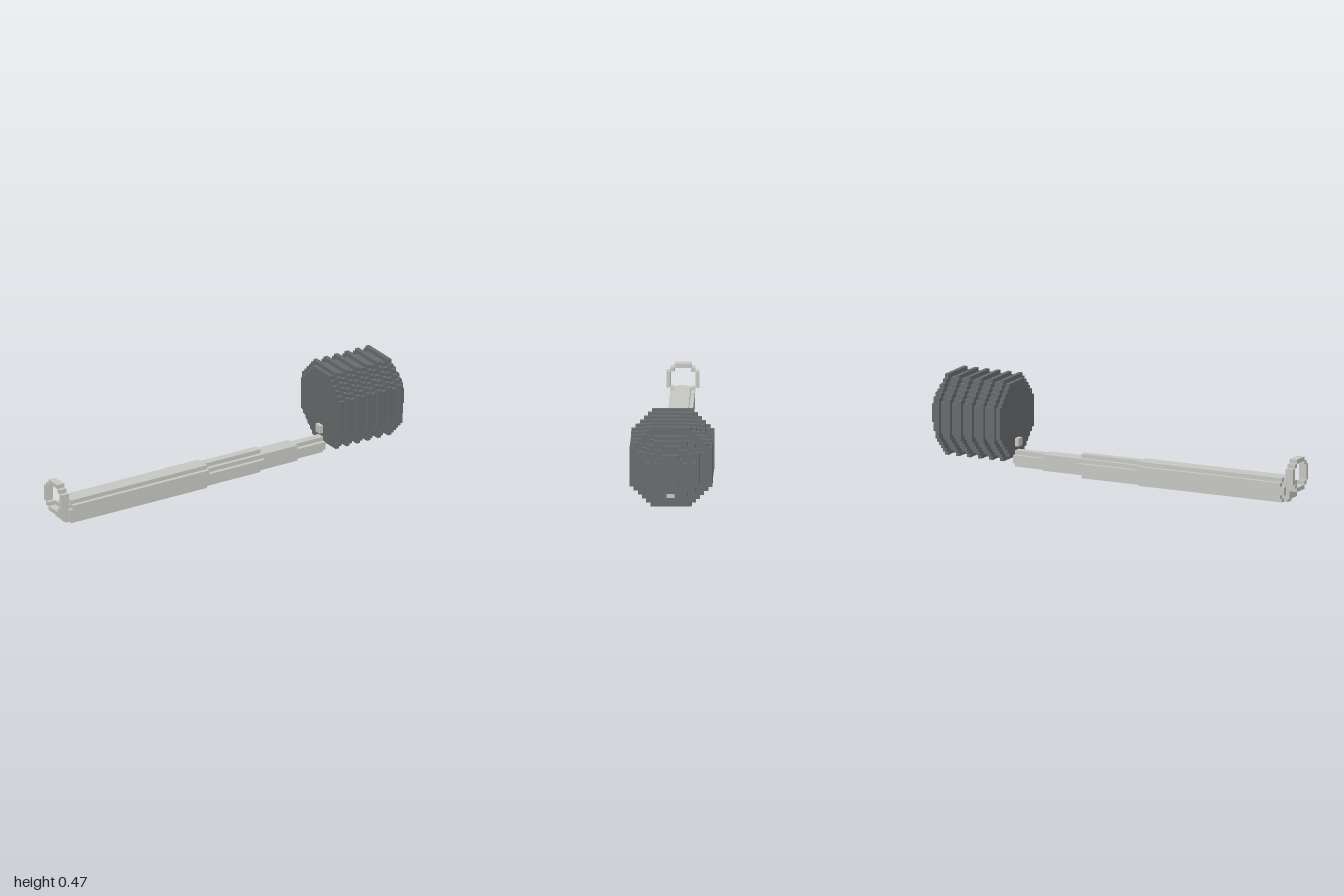
import * as THREE from 'three';

const U = 2 / 98; // size of one block

// half-widths of an octagon, one per row from the centre outwards
function octagon(radius, flat) {
  return Array.from({ length: radius }, (_, row) => Math.min(radius, radius + flat - 1 - row));
}

// stepped outline, mirrored up/down and left/right
function outline(rows, Type = THREE.Shape) {
  const quarter = [];
  rows.forEach((w, i) => quarter.push([w, i], [w, i + 1]));
  const flip = (sx, sy) => quarter.map(([x, y]) => [x * sx, y * sy]);
  const points = [
    ...flip(1, 1), ...flip(-1, 1).reverse(), ...flip(-1, -1), ...flip(1, -1).reverse(),
  ].map(([x, y]) => new THREE.Vector2(x * U, y * U));
  const clean = points.filter((p, i) => i === 0 || p.distanceTo(points[i - 1]) > 1e-6);
  if (clean[0].distanceTo(clean[clean.length - 1]) < 1e-6) clean.pop();
  return new Type(clean);
}

export function createModel() {
  const model = new THREE.Group();
  const paleGrey = new THREE.MeshStandardMaterial({ color: 0xc8c8c3 });
  paleGrey.name = 'pale grey';
  const darkGrey = new THREE.MeshStandardMaterial({ color: 0x686c6e });
  darkGrey.name = 'dark grey';

  // slab of a stepped cross-section between two block positions along x
  function slab(name, material, rows, from, to, centreY, holeRows) {
    const shape = outline(rows);
    if (holeRows) shape.holes.push(outline(holeRows, THREE.Path));
    const geometry = new THREE.ExtrudeGeometry(shape, { depth: (to - from) * U, bevelEnabled: false });
    geometry.rotateY(Math.PI / 2);
    const mesh = new THREE.Mesh(geometry, material);
    mesh.name = name;
    mesh.position.set(from * U - 1, centreY * U, 0);
    model.add(mesh);
  }

  function block(name, from, to, y0, y1, halfZ) {
    const mesh = new THREE.Mesh(
      new THREE.BoxGeometry((to - from) * U, (y1 - y0) * U, halfZ * 2 * U), paleGrey);
    mesh.name = name;
    mesh.position.set((from + to) / 2 * U - 1, (y0 + y1) / 2 * U, 0);
    model.add(mesh);
  }

  // handle: thick grip, ribbed middle, slim neck
  const ribbed = [3, 2, 1];
  slab('gripEnd', paleGrey, [2, 2], 2, 3, 3);
  slab('gripCap', paleGrey, ribbed, 3, 4, 3);
  slab('grip', paleGrey, [3, 3, 2], 4, 43, 3);
  slab('ribbedShaft', paleGrey, ribbed, 43, 59, 3);
  slab('neck', paleGrey, [2, 2], 59, 69, 3);
  slab('neckTip', paleGrey, [2, 1], 69, 77, 3);

  // hanging loop
  slab('hangingLoop', paleGrey, octagon(4, 2), 0, 2, 7, octagon(3, 2));

  // head: core, six ridges and a stepped nose
  slab('headCore', darkGrey, octagon(9, 4), 77, 94, 13);
  for (let x = 78; x <= 93; x += 3) slab('headRidge', darkGrey, octagon(10, 5), x, x + 1, 13);
  slab('noseStep', darkGrey, octagon(8, 4), 94, 95, 13);
  slab('noseStep', darkGrey, octagon(7, 4), 95, 96, 13);
  slab('noseStep', darkGrey, [6, 6, 5, 5, 4, 2], 96, 97, 13);
  slab('noseTip', darkGrey, octagon(4, 2), 97, 98, 13);

  // pin showing at both ends of the head
  block('pinBack', 76, 77, 6, 8, 1);
  block('pinFront', 96, 97, 6, 7, 1);

  return model;
}
